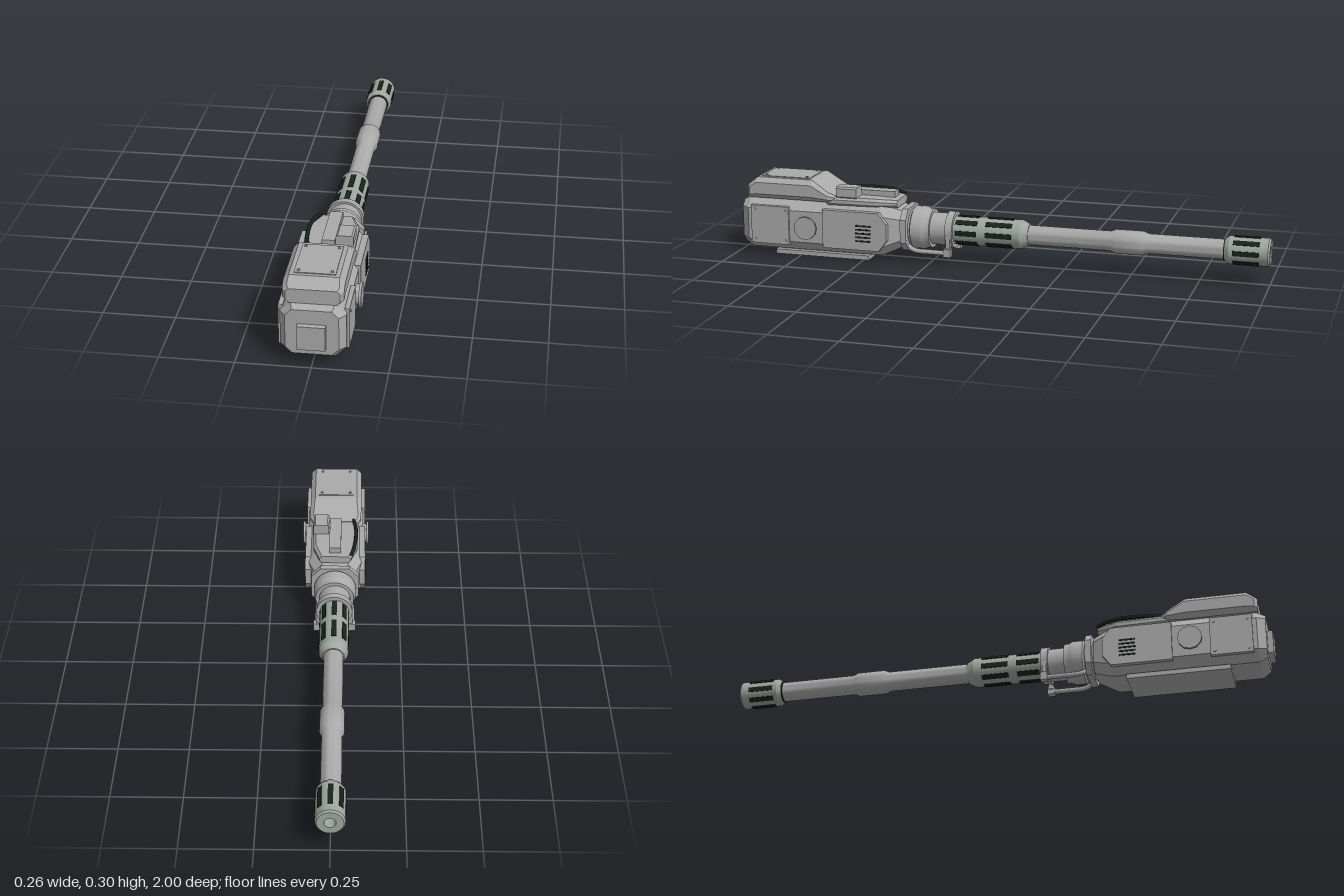
import * as THREE from 'three';
import { toCreasedNormals } from 'three/addons/utils/BufferGeometryUtils.js';

const AXIS = 0.12; // height of the barrel axis

export function createModel() {
  const root = new THREE.Group();
  root.name = 'cannon';
  const mat = (name, color) => {
    const m = new THREE.MeshStandardMaterial({ color });
    m.name = name;
    return m;
  };
  const grey = mat('grey metal', 0xaaaaaa);
  const pale = mat('greenish metal', 0x9fa69f);
  const dark = mat('dark slots', 0x18221b);

  const add = (name, geo, material = grey, x = 0, y = 0, z = 0) => {
    const m = new THREE.Mesh(geo, material);
    m.name = name;
    m.position.set(x, y, z);
    root.add(m);
    return m;
  };
  const box = (name, w, h, d, x, y, z, material = grey) =>
    add(name, new THREE.BoxGeometry(w, h, d), material, x, y, z);

  // Solid through chamfered sections [z, halfWidth, yLow, yHigh, chamfer], rear (+z) first
  const loft = (sections) => {
    const rings = sections.map(([z, w, a, b, c]) => [
      [w, a + c], [w, b - c], [w - c, b], [c - w, b],
      [-w, b - c], [-w, a + c], [c - w, a], [w - c, a],
    ].map(([x, y]) => [x, y, z]));
    const pos = [];
    const tri = (...p) => p.forEach((v) => pos.push(...v));
    for (let s = 0; s < rings.length - 1; s++) {
      const A = rings[s], B = rings[s + 1];
      for (let i = 0; i < 8; i++) {
        const j = (i + 1) % 8;
        tri(A[i], B[i], B[j]);
        tri(A[i], B[j], A[j]);
      }
    }
    const F = rings[0], E = rings[rings.length - 1];
    for (let i = 1; i < 7; i++) {
      tri(F[0], F[i], F[i + 1]);
      tri(E[0], E[i + 1], E[i]);
    }
    const g = new THREE.BufferGeometry();
    g.setAttribute('position', new THREE.Float32BufferAttribute(pos, 3));
    g.computeVertexNormals();
    return g;
  };

  // Turned part along the barrel axis, points [radius, z] from rear to muzzle
  const turned = (name, pts, material = grey, sides = 28) => {
    const g = new THREE.LatheGeometry(pts.map(([r, z]) => new THREE.Vector2(r, -z)), sides);
    g.rotateX(-Math.PI / 2);
    return add(name, toCreasedNormals(g, 0.45), material, 0, AXIS, 0);
  };

  // Ring of dark slots on a turned part
  const slots = (name, r, z0, z1, width) => {
    for (let i = 0; i < 8; i++) {
      const a = (i * Math.PI) / 4;
      const m = box(name, 0.006, width, z0 - z1,
        Math.cos(a) * r, AXIS + Math.sin(a) * r, (z0 + z1) / 2, dark);
      m.rotation.z = a;
    }
  };

  // Receiver body with tapered nose
  add('body', loft([
    [0.98, 0.087, 0.04, 0.2, 0.022],
    [0.95, 0.108, 0.02, 0.212, 0.036],
    [0.43, 0.108, 0.02, 0.212, 0.036],
    [0.36, 0.075, 0.05, 0.19, 0.03],
  ]));
  box('rearPlate', 0.092, 0.085, 0.025, 0, 0.1075, 0.9875);
  box('rearPlateRim', 0.068, 0.085, 0.004, 0, 0.1075, 0.998);
  box('basePlate', 0.172, 0.017, 0.37, 0, 0.0085, 0.665);
  box('basePlateSpacer', 0.13, 0.02, 0.33, 0, 0.018, 0.665);

  // Raised rear housing with lid and rivets
  add('rearHousing', loft([
    [0.957, 0.088, 0.212, 0.262, 0.01],
    [0.945, 0.1, 0.212, 0.27, 0.015],
    [0.918, 0.1, 0.212, 0.292, 0.018],
    [0.7, 0.1, 0.212, 0.292, 0.018],
    [0.635, 0.1, 0.212, 0.25, 0.012],
    [0.61, 0.085, 0.212, 0.238, 0.008],
  ]));
  box('lid', 0.136, 0.006, 0.19, 0, 0.292, 0.81);
  for (const x of [-0.055, 0.055]) for (const z of [0.73, 0.89])
    add('lidRivet', new THREE.CylinderGeometry(0.005, 0.005, 0.004, 8), grey, x, 0.2965, z);

  // Front deck with rail and sight block
  add('deck', loft([
    [0.64, 0.09, 0.2, 0.234, 0.01],
    [0.45, 0.085, 0.2, 0.234, 0.01],
    [0.375, 0.06, 0.2, 0.228, 0.01],
  ]));
  box('deckRail', 0.045, 0.022, 0.21, 0, 0.243, 0.5);
  add('sightBlock', loft([
    [0.605, 0.03, 0.23, 0.273, 0.006],
    [0.525, 0.03, 0.23, 0.273, 0.006],
  ]), grey, 0.055);

  // Cable bowed along the deck
  const cable = new THREE.CatmullRomCurve3([
    [-0.068, 0.236, 0.63], [-0.078, 0.24, 0.57], [-0.08, 0.243, 0.5],
    [-0.074, 0.24, 0.43], [-0.06, 0.228, 0.375],
  ].map((p) => new THREE.Vector3(...p)));
  add('cable', new THREE.TubeGeometry(cable, 24, 0.007, 8), dark);

  // Side plates, discs, louvres and pipes, mirrored
  const sidePlate = (name, pts, s, inner, outer) => {
    const g = new THREE.ExtrudeGeometry(
      new THREE.Shape(pts.map((p) => new THREE.Vector2(...p))),
      { depth: outer - inner, bevelEnabled: false });
    g.rotateY(-Math.PI / 2);
    add(name, g, grey, s > 0 ? outer : -inner);
  };
  for (const s of [-1, 1]) {
    sidePlate('rearSidePanel',
      [[0.785, 0.045], [0.935, 0.045], [0.935, 0.19], [0.785, 0.19]], s, 0.1, 0.116);
    sidePlate('frontSidePanel',
      [[0.43, 0.045], [0.65, 0.045], [0.65, 0.19], [0.43, 0.19], [0.4, 0.15], [0.4, 0.085]],
      s, 0.085, 0.116);
    for (const y of [0.06, 0.175]) for (const z of [0.8, 0.92]) {
      const rivet = add('panelRivet', new THREE.CylinderGeometry(0.005, 0.005, 0.004, 8),
        grey, s * 0.117, y, z);
      rivet.rotation.z = Math.PI / 2;
    }
    const disc = add('sideDisc', new THREE.CylinderGeometry(0.044, 0.044, 0.009, 12),
      grey, s * 0.1255, 0.117, 0.715);
    disc.rotation.z = Math.PI / 2;
    const hub = add('discHub', new THREE.CylinderGeometry(0.036, 0.036, 0.03, 12),
      grey, s * 0.112, 0.117, 0.715);
    hub.rotation.z = Math.PI / 2;
    for (let i = 0; i < 5; i++)
      box('louvre', 0.003, 0.006, 0.06, s * 0.1165, 0.08 + i * 0.0145, 0.49, dark);

    const path = new THREE.CatmullRomCurve3([
      [0.05, 0.07, 0.35], [0.064, 0.048, 0.31], [0.066, 0.045, 0.25], [0.066, 0.045, 0.18],
    ].map(([x, y, z]) => new THREE.Vector3(s * x, y, z)));
    add('pipe', new THREE.TubeGeometry(path, 12, 0.009, 10), grey);
    box('pipeBlock', 0.026, 0.03, 0.026, s * 0.066, 0.047, 0.178);
    box('pipeBracket', 0.02, 0.06, 0.016, s * 0.058, 0.08, 0.178);
  }

  // Neck between body and barrel
  add('neckFlange', loft([
    [0.355, 0.09, 0.042, 0.2, 0.035],
    [0.332, 0.09, 0.042, 0.2, 0.035],
  ]));
  turned('neckCollar', [
    [0, 0.37], [0.07, 0.37], [0.07, 0.325], [0.08, 0.32], [0.08, 0.28], [0.073, 0.265],
    [0.073, 0.25], [0.06, 0.25], [0.06, 0.19], [0.068, 0.19], [0.068, 0.163], [0, 0.163],
  ]);

  // Slotted jacket
  turned('jacket', [
    [0, 0.17], [0.054, 0.17], [0.054, -0.09], [0.04, -0.118], [0, -0.118],
  ], pale);
  slots('jacketSlot', 0.0525, 0.155, 0.072, 0.019);
  slots('jacketSlot', 0.0525, 0.04, -0.06, 0.019);

  // Barrel with thicker middle sleeve
  turned('barrel', [
    [0.036, -0.1], [0.036, -0.42], [0.044, -0.44], [0.044, -0.54],
    [0.036, -0.56], [0.036, -0.86],
  ]);

  // Slotted muzzle with open bore
  turned('muzzle', [
    [0.034, -0.838], [0.042, -0.838], [0.051, -0.853], [0.051, -0.993],
    [0.045, -1], [0.02, -1], [0.02, -0.95], [0, -0.95],
  ], pale);
  turned('muzzleBand', [[0.03, -0.834], [0.04, -0.834], [0.04, -0.84], [0.03, -0.84]], dark);
  slots('muzzleSlot', 0.0495, -0.868, -0.962, 0.018);

  return root;
}
